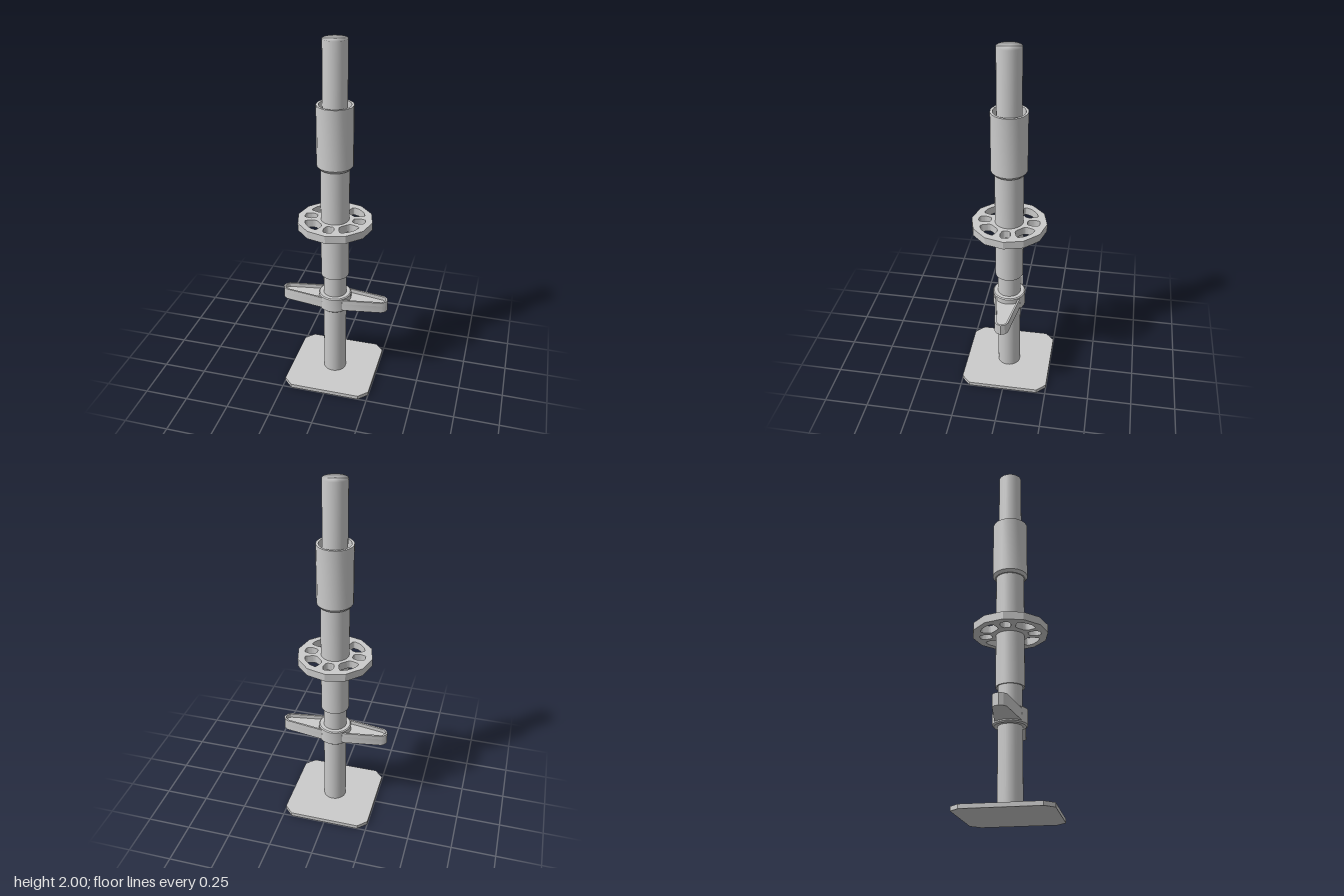
import * as THREE from 'three';
import { toCreasedNormals } from 'three/addons/utils/BufferGeometryUtils.js';

const grey = new THREE.MeshStandardMaterial({ color: 0xcccccc });
const v = (x, y) => new THREE.Vector2(x, y);

function addMesh(parent, name, geometry) {
  const mesh = new THREE.Mesh(geometry, grey);
  mesh.name = name;
  parent.add(mesh);
  return mesh;
}

// Turned part with crisp edges; profile runs up the outside
function turned(profile, segments) {
  const points = profile.map(([r, y]) => v(r, y));
  return toCreasedNormals(new THREE.LatheGeometry(points, segments), 0.5);
}

// Flat plan shape raised from y0 to y1
function slab(shape, y0, y1) {
  const geometry = new THREE.ExtrudeGeometry(shape, { depth: y1 - y0, bevelEnabled: false, curveSegments: 6 });
  geometry.rotateX(-Math.PI / 2);
  geometry.translate(0, y0, 0);
  return toCreasedNormals(geometry, 0.5);
}

// Closed path through the corners, each corner rounded by a fraction of its edges
function roundedPath(corners, fraction) {
  const path = new THREE.Path();
  corners.forEach((corner, i) => {
    const n = corners.length;
    const before = corner.clone().lerp(corners[(i + n - 1) % n], fraction);
    const after = corner.clone().lerp(corners[(i + 1) % n], fraction);
    if (i === 0) path.moveTo(before.x, before.y);
    else path.lineTo(before.x, before.y);
    path.quadraticCurveTo(corner.x, corner.y, after.x, after.y);
  });
  path.closePath();
  return path;
}

// Points mirrored from one quadrant to a full outline
function mirrored(quarter) {
  const half = [...quarter, ...quarter.slice(0, -1).reverse().map(([x, y]) => [x, -y])];
  return [...half.map(([x, y]) => v(x, y)), ...half.map(([x, y]) => v(-x, -y))];
}

function rosetteShape() {
  const shape = new THREE.Shape();
  shape.absarc(0, 0, 0.208, 0, Math.PI * 2);
  const bore = new THREE.Path();
  bore.absarc(0, 0, 0.074, 0, Math.PI * 2, true);
  shape.holes.push(bore);
  const small = [v(0.1, -0.02), v(0.135, -0.03), v(0.168, -0.021), v(0.168, 0.021), v(0.135, 0.03), v(0.1, 0.02)];
  const polar = (r, degrees) => v(r, 0).rotateAround(v(0, 0), THREE.MathUtils.degToRad(degrees));
  const large = [polar(0.104, -20), polar(0.166, -22), polar(0.172, -8), polar(0.172, 8), polar(0.166, 22), polar(0.104, 20)];
  for (let i = 0; i < 8; i++) {
    const corners = (i % 2 ? large : small).map(p => p.clone().rotateAround(v(0, 0), i * Math.PI / 4));
    shape.holes.push(roundedPath(corners, 0.3));
  }
  return shape;
}

export function createModel() {
  const model = new THREE.Group();

  // Square foot with cut corners
  const plate = new THREE.Shape(mirrored([[0.2, -0.25], [0.25, -0.2]]
    .map(([x, y]) => [x, y]).concat([[0.25, 0.2], [0.2, 0.25]])).slice(0, 4)
    .concat([v(-0.2, 0.25), v(-0.25, 0.2), v(-0.25, -0.2), v(-0.2, -0.25)]));
  addMesh(model, 'basePlate', slab(plate, 0, 0.022));

  // Full-height rod, shaded softly over its ends
  addMesh(model, 'rod', new THREE.LatheGeometry([v(0, 0.01), v(0.065, 0.01), v(0.065, 2), v(0, 2)], 32));

  // Wing nut: hub plus two tapered handles with a recessed top
  const wingNut = new THREE.Group();
  wingNut.name = 'wingNut';
  model.add(wingNut);
  addMesh(wingNut, 'hub', turned([[0.063, 0.458], [0.085, 0.458], [0.093, 0.465], [0.093, 0.545], [0.087, 0.55], [0.063, 0.55]], 24));
  const outer = mirrored([[0, -0.08], [0.28, -0.037], [0.299, -0.023], [0.308, 0]]).filter((p, i) => i !== 6 && i !== 13);
  const inner = mirrored([[0, -0.07], [0.277, -0.027], [0.291, -0.016], [0.298, 0]]).filter((p, i) => i !== 6 && i !== 13);
  addMesh(wingNut, 'handles', slab(new THREE.Shape(outer), 0.472, 0.515));
  const rim = new THREE.Shape(outer);
  rim.holes.push(new THREE.Path(inner));
  addMesh(wingNut, 'handleRim', slab(rim, 0.515, 0.537));

  // Sleeve around the rod
  addMesh(model, 'sleeve', turned([[0.064, 0.69], [0.07, 0.672], [0.078, 0.672], [0.078, 1.34]], 32));

  // Slotted disc with a small weld below
  addMesh(model, 'rosette', slab(rosetteShape(), 0.976, 1.02));
  addMesh(model, 'rosetteWeld', turned([[0.076, 0.968], [0.084, 0.97], [0.095, 0.977]], 32));

  // Open-topped upper collar
  addMesh(model, 'collar', turned([
    [0.076, 1.322], [0.085, 1.322], [0.098, 1.338], [0.098, 1.668],
    [0.085, 1.668], [0.085, 1.345], [0.06, 1.345],
  ], 20));

  return model;
}
